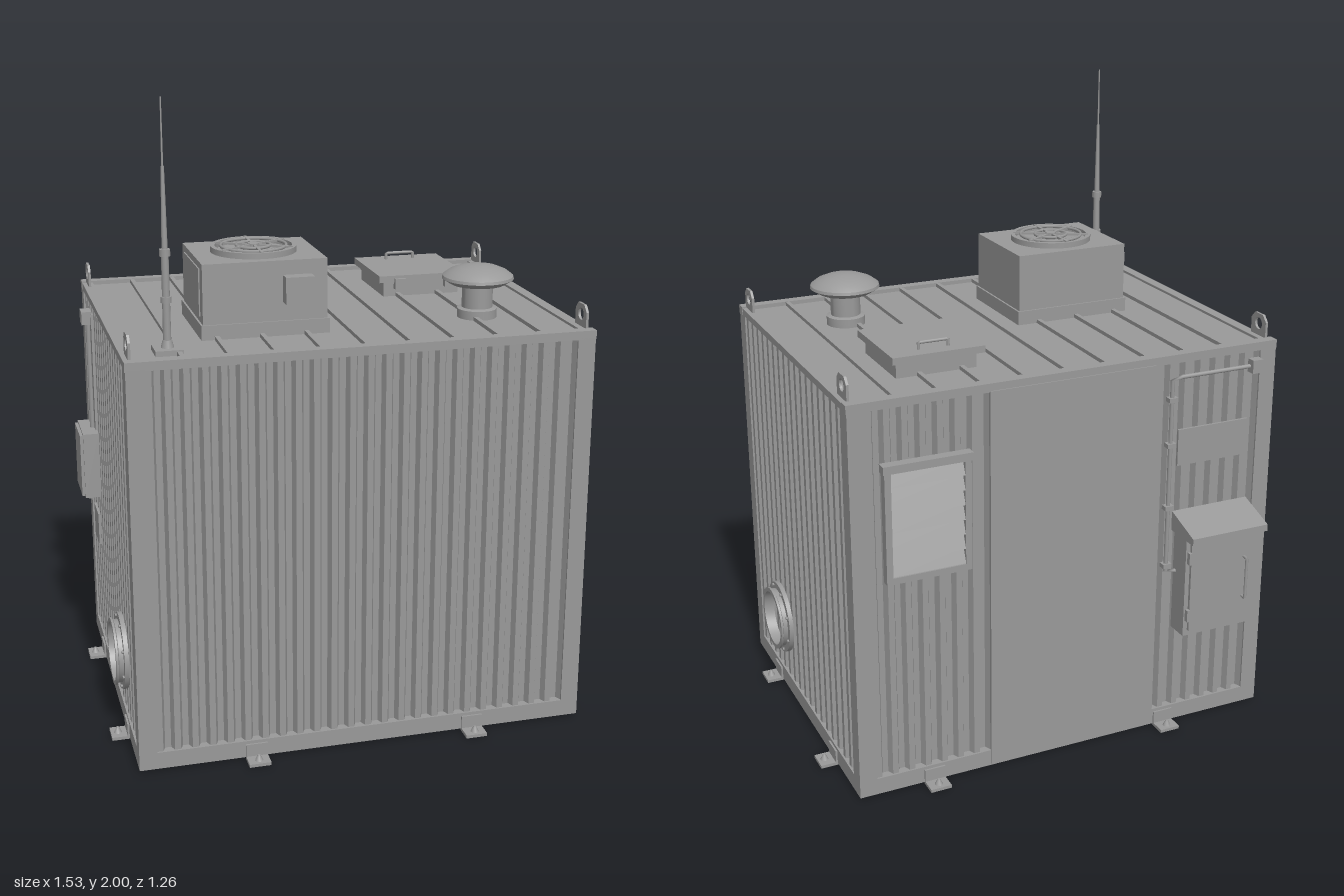
import * as THREE from 'three';
import { toCreasedNormals } from 'three/addons/utils/BufferGeometryUtils.js';

export function createModel() {
  const model = new THREE.Group();
  model.name = 'equipmentShelter';
  const grey = new THREE.MeshStandardMaterial({ color: 0x999999, side: THREE.DoubleSide });
  grey.name = 'painted grey metal';

  const add = (name, geo, x = 0, y = 0, z = 0, parent = model) => {
    const m = new THREE.Mesh(geo, grey);
    m.name = name;
    m.position.set(x, y, z);
    parent.add(m);
    return m;
  };
  // Box given by its bounds
  const box = (name, x0, x1, y0, y1, z0, z1, parent) =>
    add(name, new THREE.BoxGeometry(x1 - x0, y1 - y0, z1 - z0),
      (x0 + x1) / 2, (y0 + y1) / 2, (z0 + z1) / 2, parent);
  // Upright cylinder standing on y0
  const rod = (name, x, z, y0, y1, r0, r1 = r0, parent = model, sides = 12) =>
    add(name, new THREE.CylinderGeometry(r1, r0, y1 - y0, sides), x, (y0 + y1) / 2, z, parent);
  const lathe = (pts, n = 32) => toCreasedNormals(
    new THREE.LatheGeometry(pts.map(p => new THREE.Vector2(...p)), n), 0.6);
  const tube = (name, pts, r, parent = model) => {
    const path = new THREE.CurvePath();
    for (let i = 1; i < pts.length; i++)
      path.add(new THREE.LineCurve3(new THREE.Vector3(...pts[i - 1]), new THREE.Vector3(...pts[i])));
    return add(name, new THREE.TubeGeometry(path, 24, r, 8), 0, 0, 0, parent);
  };

  const X0 = -0.705, X1 = 0.712, Z0 = -0.502, Z1 = 0.568;
  const POST = 0.056, LOW = 0.06, HIGH = 1.262;

  // Trapezoidal corrugated sheet facing +z, crests on z = 0
  const corrugated = (name, length, x, z, turn) => {
    const n = Math.max(1, Math.round(length / 0.055)), p = length / n;
    const g = new THREE.PlaneGeometry(length, HIGH - LOW, n * 4, 1);
    const offset = [0, 0.34, 0.5, 0.84], pos = g.attributes.position, row = n * 4 + 1;
    for (let i = 0; i < pos.count; i++) {
      const c = i % row, k = c % 4;
      pos.setX(i, -length / 2 + (Math.floor(c / 4) + offset[k]) * p);
      pos.setZ(i, k < 2 ? 0 : -0.02);
    }
    const flat = g.toNonIndexed();
    flat.computeVertexNormals();
    add(name, flat, x, (LOW + HIGH) / 2, z).rotation.y = turn;
  };
  const cx = (X0 + X1) / 2, cz = (Z0 + Z1) / 2, inset = 0.006;
  const longW = X1 - X0 - 2 * POST, sideW = Z1 - Z0 - 2 * POST;
  corrugated('frontWall', longW, cx, Z1 - inset, 0);
  corrugated('leftWall', sideW, X1 - inset, cz, Math.PI / 2);
  corrugated('rightWall', sideW, X0 + inset, cz, -Math.PI / 2);
  const DOOR = 0.275;
  corrugated('backWallLeft', X1 - POST - DOOR, (X1 - POST + DOOR) / 2, Z0 + inset, Math.PI);
  corrugated('backWallRight', -DOOR - X0 - POST, (X0 + POST - DOOR) / 2, Z0 + inset, Math.PI);
  box('doorPanel', -DOOR, DOOR, 0.012, HIGH, Z0 - 0.004, Z0 + 0.012);
  box('doorJamb', -DOOR - 0.03, -DOOR, LOW, HIGH, Z0, Z0 + 0.02);

  // Corner posts, lifting lugs
  const lugShape = new THREE.Shape();
  lugShape.moveTo(-0.04, 0).lineTo(0.04, 0).lineTo(0.04, 0.05).lineTo(0.022, 0.07)
    .lineTo(-0.022, 0.07).lineTo(-0.04, 0.05).closePath();
  lugShape.holes.push(new THREE.Path().absarc(0, 0.038, 0.019, 0, Math.PI * 2, true));
  const lugGeo = new THREE.ExtrudeGeometry(lugShape, { depth: 0.008, bevelEnabled: false });
  lugGeo.rotateY(Math.PI / 2);
  for (const x of [X0, X1 - POST]) for (const z of [Z0, Z1 - POST])
    box('cornerPost', x, x + POST, 0.006, HIGH, z, z + POST);
  for (const x of [-0.692, 0.691]) for (const z of [-0.43, 0.498])
    add('liftingLug', lugGeo, x, 1.283, z);

  // Base and roof rails (the underside is open)
  for (const z of [Z0, Z1 - 0.035]) {
    box('baseRail', X0, X1, 0.006, LOW, z, z + 0.035);
    box('roofRail', X0 - 0.002, X1 + 0.002, 1.258, 1.285, z, z + 0.035);
  }
  for (const x of [X0, X1 - 0.035]) {
    box('baseRail', x, x + 0.035, 0.006, LOW, Z0, Z1);
    box('roofRail', x, x + 0.035, 1.258, 1.28, Z0, Z1);
  }

  // Roof deck with standing seams
  box('roofDeck', X0 + 0.01, X1 - 0.01, 1.262, 1.272, Z0 + 0.01, Z1 - 0.01);
  for (let i = -4; i <= 4; i++) {
    const x = 0.01 + i * 0.1365;
    box('roofSeam', x - 0.007, x + 0.007, 1.272, 1.284, Z0 + 0.035, Z1 - 0.035);
  }

  // Anchor brackets, each built facing +z
  const bracket = (x, z, turn) => {
    const g = new THREE.Group();
    g.name = 'anchorBracket';
    box('anchorFoot', -0.034, 0.034, 0, 0.01, -0.002, 0.055, g);
    box('anchorPlate', -0.034, 0.034, 0, 0.05, -0.002, 0.006, g);
    rod('anchorBolt', 0, 0.033, 0.01, 0.028, 0.013, 0.004, g, 8);
    g.position.set(x, 0, z);
    g.rotation.y = turn;
    model.add(g);
  };
  for (const x of [-0.344, 0.352]) bracket(x, Z1, 0);
  for (const x of [-0.344, 0.467]) bracket(x, Z0, Math.PI);
  for (const z of [-0.256, 0.322]) {
    bracket(X1, z, Math.PI / 2);
    bracket(X0, z, -Math.PI / 2);
  }

  // Round duct collars on both ends
  const collar = lathe([[0.092, 0], [0.092, 0.034], [0.106, 0.034], [0.106, 0.027],
    [0.099, 0.024], [0.099, 0.01], [0.121, 0.01], [0.121, -0.004]], 40);
  for (const s of [1, -1]) {
    const g = new THREE.Group();
    g.name = 'ductCollar';
    add('collarRing', collar, 0, 0, 0, g);
    for (let i = 0; i < 8; i++) {
      const a = (i + 0.5) * Math.PI / 4;
      rod('collarBolt', Math.cos(a) * 0.111, Math.sin(a) * 0.111, 0.01, 0.016, 0.005, 0.005, g, 6);
    }
    g.rotation.z = -s * Math.PI / 2;
    g.position.set(s > 0 ? X1 : X0, 0.262, 0.262);
    model.add(g);
  }

  // Rooftop cooling unit with fan guard
  box('coolerCurb', -0.446, -0.054, 1.272, 1.317, 0.004, 0.342);
  box('coolerBody', -0.44, -0.06, 1.317, 1.5, 0.01, 0.336);
  box('coolerSidePanel', -0.444, -0.44, 1.335, 1.48, 0.05, 0.296);
  box('coolerSwitchBox', -0.197, -0.109, 1.375, 1.456, 0.336, 0.378);
  const fan = new THREE.Group();
  fan.name = 'fanGuard';
  fan.position.set(-0.25, 1.5, 0.173);
  model.add(fan);
  add('fanRim', lathe([[0.118, 0], [0.118, 0.018], [0.132, 0.018], [0.132, 0]], 40), 0, 0, 0, fan);
  for (const r of [0.1, 0.052])
    add('guardRing', new THREE.TorusGeometry(r, 0.005, 6, 36), 0, 0.017, 0, fan).rotation.x = Math.PI / 2;
  for (let i = 0; i < 3; i++)
    add('guardSpoke', new THREE.BoxGeometry(0.25, 0.007, 0.009), 0, 0.017, 0, fan)
      .rotation.y = Math.PI / 6 + i * Math.PI / 3;
  rod('fanHub', 0, 0, 0, 0.023, 0.018, 0.018, fan, 16);

  // Roof hatch
  box('hatchCurb', 0.235, 0.492, 1.272, 1.325, -0.315, -0.055);
  box('hatchLid', 0.216, 0.51, 1.322, 1.344, -0.338, -0.037);
  tube('hatchHandle', [[0.315, 1.34, -0.29], [0.315, 1.365, -0.29], [0.41, 1.365, -0.29], [0.41, 1.34, -0.29]], 0.005);
  for (const x of [0.285, 0.455]) box('hatchHinge', x - 0.018, x + 0.018, 1.3, 1.335, -0.045, -0.024);

  // Mushroom vent
  add('mushroomVent', lathe([[0.062, 1.272], [0.062, 1.3], [0.048, 1.304], [0.048, 1.375], [0.085, 1.378],
    [0.112, 1.395], [0.11, 1.404], [0.09, 1.419], [0.06, 1.431], [0.03, 1.437], [0, 1.439]]), 0.443, 0, 0.265);

  // Antenna
  const ax = -0.564, az = 0.441;
  box('antennaPlate', ax - 0.041, ax + 0.041, 1.272, 1.288, az - 0.041, az + 0.041);
  for (const [y0, y1, r0, r1] of [[1.285, 1.31, 0.02, 0.014], [1.31, 1.56, 0.012, 0.011],
    [1.42, 1.438, 0.016, 0.016], [1.555, 1.575, 0.016, 0.016], [1.575, 1.81, 0.009, 0.005], [1.81, 2, 0.003, 0.002]])
    rod('antennaMast', ax, az, y0, y1, r0, r1);

  // Louvred vent on the back
  box('louvreBacking', 0.36, 0.6, 0.74, 1.07, Z0 - 0.004, Z0);
  for (const x of [0.345, 0.595]) box('louvreFrame', x, x + 0.02, 0.72, 1.09, Z0 - 0.026, Z0 + 0.002);
  box('louvreSill', 0.345, 0.615, 0.72, 0.74, Z0 - 0.026, Z0 + 0.002);
  box('louvreHood', 0.34, 0.62, 1.07, 1.095, Z0 - 0.031, Z0 + 0.002);
  for (let i = 0; i < 7; i++)
    add('louvreSlat', new THREE.BoxGeometry(0.236, 0.05, 0.004), 0.48, 0.765 + i * 0.047, Z0 - 0.014)
      .rotation.x = 0.4;

  // Electrical cabinet on the back, with sloping rain hood
  box('cabinetBody', -0.615, -0.365, 0.355, 0.71, -0.575, Z0 + 0.002);
  box('cabinetDoor', -0.6, -0.38, 0.375, 0.69, -0.585, -0.575);
  const hood = new THREE.Shape();
  hood.moveTo(0.5, 0.7).lineTo(0.633, 0.7).lineTo(0.633, 0.722).lineTo(0.5, 0.765).closePath();
  const hoodGeo = new THREE.ExtrudeGeometry(hood, { depth: 0.272, bevelEnabled: false });
  hoodGeo.rotateY(Math.PI / 2);
  add('cabinetHood', hoodGeo, -0.625, 0, 0);
  tube('cabinetHandle', [[-0.575, 0.46, -0.583], [-0.575, 0.46, -0.603], [-0.575, 0.6, -0.603], [-0.575, 0.6, -0.583]], 0.005);
  for (const y of [0.43, 0.63]) box('cabinetHinge', -0.38, -0.37, y - 0.02, y + 0.02, -0.59, -0.575);

  // Conduits and plates above the cabinet
  box('mountingPlate', -0.61, -0.36, 0.92, 1.04, Z0 - 0.006, Z0 + 0.002);
  box('backJunctionBox', -0.642, -0.605, 1.195, 1.238, Z0 - 0.03, Z0);
  tube('backConduit', [[-0.605, 1.215, -0.512], [-0.33, 1.215, -0.512], [-0.33, 0.56, -0.512], [-0.365, 0.56, -0.512]], 0.007);
  for (const y of [0.58, 0.78, 0.99, 1.14]) box('conduitClip', -0.345, -0.315, y, y + 0.014, Z0 - 0.022, Z0 + 0.002);

  // Meter box and conduit on the right end
  box('meterBox', -0.755, X0 + 0.002, 0.614, 0.836, -0.338, -0.177);
  box('meterBoxLid', -0.765, -0.755, 0.62, 0.83, -0.332, -0.183);
  box('sideJunctionBox', -0.738, X0, 1.195, 1.238, -0.28, -0.227);
  tube('sideConduit', [[-0.714, 0.836, -0.255], [-0.714, 1.195, -0.255]], 0.009);
  box('conduitRail', X0 - 0.004, X0 + 0.004, 0.836, 1.23, -0.295, -0.215);
  rod('cableGland', -0.73, -0.255, 0.585, 0.614, 0.01);
  box('sidePlate', X0 - 0.005, X0 + 0.003, 0.42, 0.53, -0.345, -0.235);

  return model;
}
